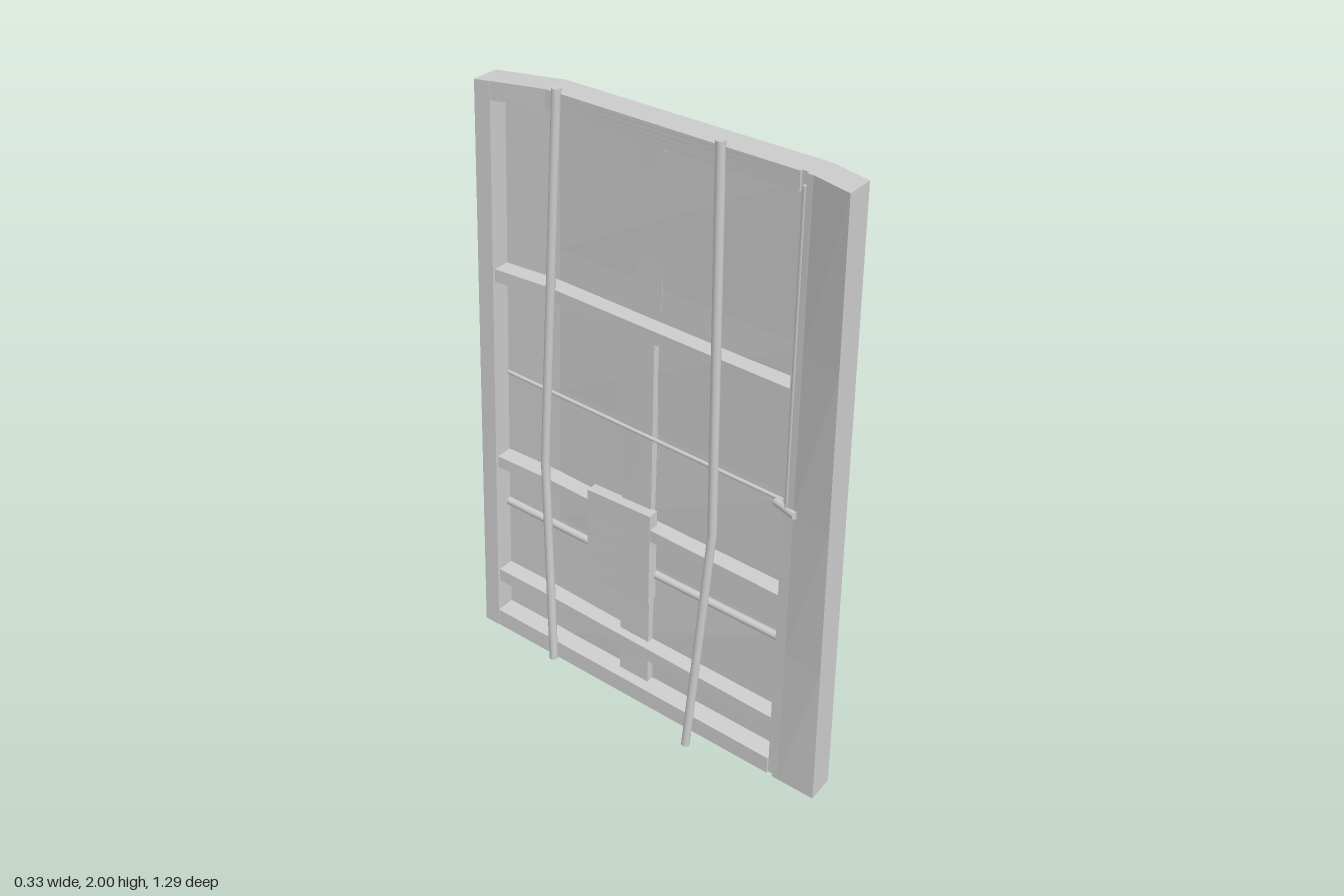
import * as THREE from 'three';

const material = new THREE.MeshStandardMaterial({ color: 0xcccccc, flatShading: true, side: THREE.DoubleSide });
const smooth = new THREE.MeshStandardMaterial({ color: 0xcccccc });
const KINKS = [-0.38, 0.52];

// piecewise linear interpolation through [position, value] pairs
function lerpTable(table, p) {
  let i = 0;
  while (i < table.length - 2 && p > table[i + 1][0]) i++;
  const [a, va] = table[i], [b, vb] = table[i + 1];
  return va + (vb - va) * (p - a) / (b - a);
}

// twisted outer skin of the door: x from height and z
const topLine = [[-0.645, 0.1], [-0.38, 0.11], [0.52, 0.01], [0.645, -0.035]];
const bottomLine = [[-0.645, 0.004], [0.52, 0], [0.645, 0]];
const skin = (y, z) => THREE.MathUtils.lerp(lerpTable(bottomLine, z), lerpTable(topLine, z), y / 1.985);

const topEdge = z => (z > -0.38 ? 1.985 : 1.985 + (z + 0.38) * 0.06);
const bottomEdge = z => 0.05 - 0.078 * z;

// the rear edge leans slightly
const point = (y, z, depth) =>
  new THREE.Vector3(skin(y, z) - depth, y, z < -0.5 ? z + 0.01 * y : z);

export function createModel() {
  const door = new THREE.Group();
  door.name = 'door';

  function add(name, geometry, mat = material) {
    const mesh = new THREE.Mesh(geometry, mat);
    mesh.name = name;
    door.add(mesh);
    return mesh;
  }

  // block following the twisted skin, between two depths below it
  function slab(name, z0, z1, low, high, d0, d1) {
    const stops = [z0, ...KINKS.filter(k => k > z0 && k < z1), z1];
    const n = stops.length - 1;
    const geometry = new THREE.BoxGeometry(1, 1, 1, 1, 4, n);
    const pos = geometry.attributes.position;
    for (let i = 0; i < pos.count; i++) {
      const z = stops[Math.round((pos.getZ(i) + 0.5) * n)];
      const y = THREE.MathUtils.lerp(low(z), high(z), pos.getY(i) + 0.5);
      const p = point(y, z, pos.getX(i) > 0 ? d0 : d1);
      pos.setXYZ(i, p.x, p.y, p.z);
    }
    geometry.computeVertexNormals();
    return add(name, geometry);
  }

  // straight round bar between two points
  function bar(name, a, b, radius) {
    const mesh = add(name, new THREE.CylinderGeometry(radius, radius, a.distanceTo(b), 10), smooth);
    mesh.position.copy(a).lerp(b, 0.5);
    mesh.quaternion.setFromUnitVectors(new THREE.Vector3(0, 1, 0), b.clone().sub(a).normalize());
    return mesh;
  }

  const offset = (f, amount) => z => f(z) + amount;
  const level = y => () => y;

  // outer frame
  slab('frontStile', 0.5, 0.645, bottomEdge, topEdge, 0, 0.095);
  slab('frontStileStep', 0.48, 0.5, bottomEdge, topEdge, 0, 0.085);
  slab('rearStile', -0.645, -0.59, bottomEdge, topEdge, 0, 0.095);
  slab('topRail', -0.59, 0.48, offset(topEdge, -0.055), topEdge, 0, 0.093);
  slab('mullion', -0.1, 0.005, offset(bottomEdge, 0.02), offset(topEdge, -0.05), 0, 0.03);

  // bottom rail with a groove along its underside
  slab('bottomRail', -0.59, 0.48, offset(bottomEdge, 0.02), offset(bottomEdge, 0.06), 0, 0.093);
  slab('bottomRailOuterLip', -0.59, 0.48, bottomEdge, offset(bottomEdge, 0.02), 0, 0.05);
  slab('bottomRailInnerLip', -0.59, 0.48, bottomEdge, offset(bottomEdge, 0.02), 0.066, 0.093);

  // recessed sheet
  slab('panelSheet', -0.6, 0.49, offset(bottomEdge, 0.03), offset(topEdge, -0.03), 0.012, 0.028);

  // crossbars: a flat strip outside, a deep beam inside
  const crossbars = [z => 1.366 - 0.024 * z, z => 0.701 - 0.055 * z];
  for (const centre of crossbars) {
    slab('crossbarStrip', -0.59, 0.48, offset(centre, -0.022), offset(centre, 0.022), 0.004, 0.028);
    slab('crossbarBeam', -0.59, 0.48, offset(centre, -0.02), offset(centre, 0.02), 0.026, 0.085);
  }
  slab('lowerBeam', -0.59, 0.48, z => 0.225 - 0.08 * z, z => 0.27 - 0.08 * z, 0.026, 0.085);

  // inside centre post, cover plate and lock case
  slab('centrePost', -0.11, 0.0, offset(bottomEdge, 0.05), level(1.36), 0.026, 0.055);
  slab('postCover', -0.15, -0.11, level(0.72), level(1.36), 0.026, 0.045);
  slab('lockCase', -0.22, 0.02, level(0.45), level(0.77), 0.05, 0.088);

  // inside linkage
  bar('latchRod', point(1.04, -0.58, 0.04), point(1.0, 0.5, 0.06), 0.006);
  bar('lowerRod', point(0.57, -0.58, 0.045), point(0.51, 0.48, 0.045), 0.013);
  bar('edgeRod', point(1.95, 0.495, 0.09), point(1.0, 0.495, 0.09), 0.007);
  bar('latchKnob', point(1.0, 0.45, 0.075), point(1.0, 0.53, 0.1), 0.012);

  // long bent rods across the inner side
  const rods = [
    [[-0.055, 2.0, 0.235], [-0.088, 0.82, 0.258], [-0.155, 0.04, 0.22]],
    [[0.008, 2.0, -0.335], [-0.06, 0.82, -0.375], [-0.11, 0.09, -0.335]],
  ];
  for (const rod of rods) {
    const [a, b, c] = rod.map(p => new THREE.Vector3(...p));
    bar('upperRodHalf', a, b, 0.014);
    bar('lowerRodHalf', b, c, 0.014);
    add('rodElbow', new THREE.SphereGeometry(0.014, 10, 8), smooth).position.copy(b);
  }

  // small hinge tabs along the front stile
  for (const y of [1.51, 0.9, 0.29]) {
    slab('hingeTab', 0.472, 0.484, level(y - 0.018), level(y + 0.018), -0.002, 0.02);
  }

  // grab handle on the outer side
  const grip = new THREE.CatmullRomCurve3([
    [0.095, 1.375, -0.592], [0.128, 1.365, -0.594], [0.148, 1.325, -0.6], [0.142, 1.18, -0.615],
    [0.131, 1.02, -0.615], [0.122, 0.88, -0.602], [0.106, 0.835, -0.595], [0.062, 0.82, -0.59],
  ].map(p => new THREE.Vector3(...p)), false, 'centripetal');
  add('handleGrip', new THREE.TubeGeometry(grip, 48, 0.013, 10), smooth);
  for (const [x, y] of [[0.1, 1.37], [0.065, 0.82]]) {
    const plate = add('handlePlate', new THREE.BoxGeometry(0.013, 0.08, 0.03));
    plate.position.set(x, y, -0.592);
    bar('handleFoot', point(y, -0.6, 0.01), new THREE.Vector3(x, y, -0.592), 0.014);
  }

  return door;
}
